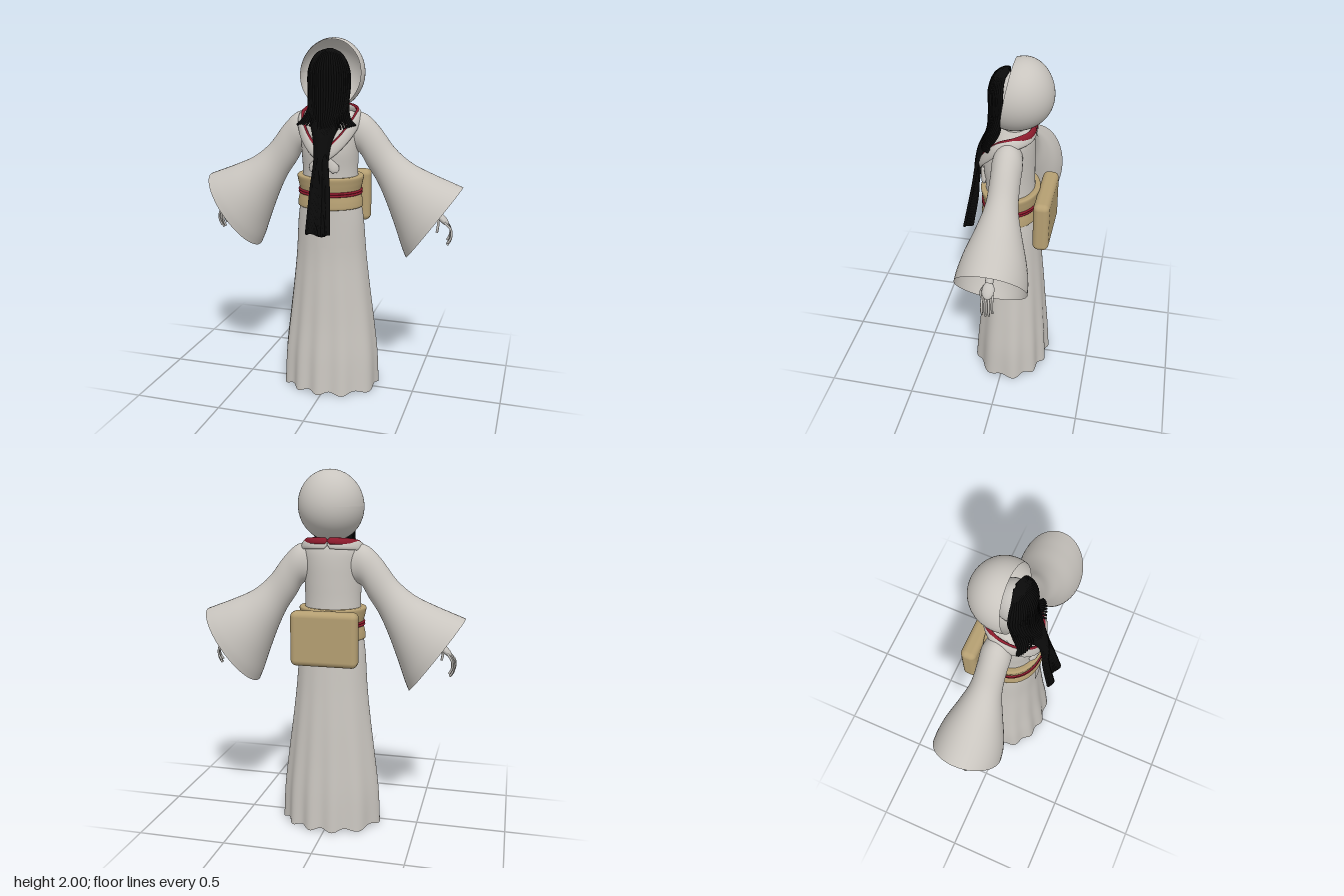
import * as THREE from 'three';
import { RoundedBoxGeometry } from 'three/addons/geometries/RoundedBoxGeometry.js';

const mat = (name, color) => {
  const m = new THREE.MeshStandardMaterial({ color, side: THREE.DoubleSide });
  m.name = name;
  return m;
};
const V = (x, y, z) => new THREE.Vector3(x, y, z);
const TAU = Math.PI * 2;

// Skin a list of equal-length rings of points
function loft(rings, closed = true) {
  const n = rings[0].length, idx = [];
  for (let i = 0; i < rings.length - 1; i++)
    for (let j = 0; j < (closed ? n : n - 1); j++) {
      const k = (j + 1) % n, a = i * n, b = a + n;
      idx.push(a + j, a + k, b + k, a + j, b + k, b + j);
    }
  const g = new THREE.BufferGeometry().setFromPoints(rings.flat());
  g.setIndex(idx);
  g.computeVertexNormals();
  return g;
}

// Smoothly sample rows of [y, halfWidth, frontZ, backZ]
function sampler(rows) {
  const a = new THREE.CatmullRomCurve3(rows.map(r => V(r[0], r[1], 0)), false, 'catmullrom');
  const b = new THREE.CatmullRomCurve3(rows.map(r => V(r[2], r[3], 0)), false, 'catmullrom');
  return t => {
    const p = a.getPoint(t), q = b.getPoint(t);
    return { y: p.x, rx: p.y, cz: (q.x + q.y) / 2, hz: (q.x - q.y) / 2 };
  };
}
const oval = (s, a, grow = 0) =>
  V((s.rx + grow) * Math.sin(a), s.y, s.cz + (s.hz + grow) * Math.cos(a));
const arc = (n, f, from = 0, to = TAU, closed = true) =>
  Array.from({ length: closed ? n : n + 1 }, (_, j) => f(from + (to - from) * j / n));

function bodyLoft(rows, steps, sides = 64) {
  const at = sampler(rows);
  return loft(Array.from({ length: steps + 1 }, (_, i) => {
    const s = at(i / steps);
    return arc(sides, a => oval(s, a));
  }));
}

function tube(points, r, segs = 20, sides = 6) {
  return new THREE.TubeGeometry(new THREE.CatmullRomCurve3(points), segs, r, sides);
}

export function createModel() {
  const root = new THREE.Group();
  const cloth = mat('pale cloth', 0xc9c5bf), skin = mat('pale skin', 0xc4c1bc);
  const hairMat = mat('black hair', 0x0b0b0b), tan = mat('tan sash', 0xb59f72);
  const red = mat('dark red', 0x8c1a2c);
  const add = (name, geo, m, parent = root) => {
    const mesh = new THREE.Mesh(geo, m);
    mesh.name = name;
    parent.add(mesh);
    return mesh;
  };

  // Skirt with folds that deepen toward the hem
  const skirtAt = sampler([
    [0, 0.28, 0.195, -0.245], [0.2, 0.272, 0.18, -0.235], [0.4, 0.25, 0.16, -0.22],
    [0.6, 0.225, 0.145, -0.205], [0.8, 0.203, 0.132, -0.188],
    [1.0, 0.188, 0.13, -0.172], [1.12, 0.17, 0.13, -0.16]]);
  const skirtRing = t => {
    const s = skirtAt(t), k = Math.pow(1 - t, 2);
    return arc(144, a => {
      const fold = Math.cos(11 * a + 1.5 * Math.sin(2 * a + 0.6));
      const p = oval(s, a, 0.009 * k * fold);
      p.y += Math.max(0, 1 - t * 8) * (0.009 - 0.009 * fold);
      return p;
    });
  };
  add('skirt', loft(Array.from({ length: 41 }, (_, i) => skirtRing(i / 40))), cloth);

  // Overlapping front flap below the sash
  add('frontFlap', loft([0.72, 0.78, 0.84, 0.9, 0.95].map(t =>
    arc(16, a => oval(skirtAt(t), a, 0.005), -0.16, 0.85, false)), false), cloth);

  // Upper robe
  add('bodice', bodyLoft([
    [1.06, 0.168, 0.13, -0.155], [1.27, 0.156, 0.125, -0.142], [1.4, 0.16, 0.135, -0.14],
    [1.5, 0.164, 0.115, -0.138], [1.57, 0.16, 0.075, -0.13],
    [1.605, 0.13, 0.04, -0.115], [1.615, 0.05, 0.0, -0.07]], 30), cloth);
  const neck = add('neck', new THREE.CylinderGeometry(0.045, 0.055, 0.16, 20), skin);
  neck.position.set(0, 1.65, -0.03);

  // Sash with flared edges, cords and rear bow
  add('sash', bodyLoft([
    [1.085, 0.165, 0.125, -0.155], [1.087, 0.184, 0.148, -0.17], [1.12, 0.182, 0.147, -0.168],
    [1.17, 0.172, 0.14, -0.162], [1.22, 0.182, 0.147, -0.168],
    [1.258, 0.186, 0.15, -0.17], [1.26, 0.155, 0.12, -0.14]], 36), tan);
  for (const y of [1.163, 1.177])
    add('sashCord', new THREE.TubeGeometry(new THREE.CatmullRomCurve3(
      arc(32, a => oval({ y, rx: 0.175, cz: -0.011, hz: 0.153 }, a)), true), 96, 0.007, 8, true), red);
  const bow = add('rearBow', new RoundedBoxGeometry(0.37, 0.3, 0.088, 5, 0.032), tan);
  bow.position.set(0, 1.11, -0.207);

  // Collar bands: flattened ellipses swept from nape to chest
  const collar = (s, pts, w, th) => {
    const curve = new THREE.CatmullRomCurve3(pts.map(p => V(p[0] * s, p[1], p[2])));
    return loft(Array.from({ length: 41 }, (_, i) => {
      const p = curve.getPoint(i / 40), t = curve.getTangent(i / 40);
      const out = V(p.x, 0.05, p.z + 0.02).normalize();
      const wide = V(0, 0, 0).crossVectors(t, out).normalize();
      const thick = V(0, 0, 0).crossVectors(wide, t).normalize();
      const k = i === 0 || i === 40 ? 0.3 : 1;
      return arc(12, a => p.clone().addScaledVector(wide, Math.cos(a) * w * k)
        .addScaledVector(thick, Math.sin(a) * th * s * k));
    }));
  };
  const path = [[0, 1.612, -0.135], [0.09, 1.61, -0.12], [0.15, 1.6, -0.06], [0.165, 1.575, 0.02],
    [0.125, 1.495, 0.095], [0.06, 1.42, 0.138], [-0.01, 1.365, 0.142], [-0.08, 1.3, 0.118]];
  for (const s of [1, -1]) {
    add('collar', collar(s, path, 0.028, 0.011), cloth);
    add('innerCollar', collar(s, path.slice(0, 7).map(p =>
      [p[0] * 0.93, p[1] + 0.017, p[2] - 0.004]), 0.019, 0.009), red);
  }

  // Bell sleeves: top x,y, bottom x,y, half depth
  const sleeveRows = [
    [0.10, 1.608, 0.10, 1.40, 0.065], [0.19, 1.6, 0.165, 1.385, 0.079], [0.27, 1.53, 0.21, 1.315, 0.078],
    [0.36, 1.415, 0.27, 1.225, 0.086], [0.46, 1.335, 0.325, 1.11, 0.12],
    [0.58, 1.28, 0.38, 0.97, 0.162], [0.67, 1.245, 0.415, 0.87, 0.182], [0.735, 1.22, 0.44, 0.81, 0.187]];
  const tops = new THREE.CatmullRomCurve3(sleeveRows.map(r => V(r[0], r[1], r[4])), false, 'catmullrom');
  const lows = new THREE.CatmullRomCurve3(sleeveRows.map(r => V(r[2], r[3], 0)), false, 'catmullrom');
  for (const s of [1, -1]) {
    const arm = new THREE.Group();
    arm.name = s > 0 ? 'leftArm' : 'rightArm';
    root.add(arm);
    add('sleeve', loft(Array.from({ length: 36 }, (_, i) => {
      const T = tops.getPoint(i / 35), B = lows.getPoint(i / 35);
      return arc(48, a => V(s * ((T.x + B.x) / 2 + (T.x - B.x) / 2 * Math.cos(a)),
        (T.y + B.y) / 2 + (T.y - B.y) / 2 * Math.cos(a), -0.028 + T.z * Math.sin(a * s)));
    })), cloth, arm);

    // Forearm, palm and slender fingers
    const P = (x, y, z) => V(s * x, y, z);
    add('forearm', tube([P(0.3, 1.36, -0.03), P(0.45, 1.21, -0.028), P(0.61, 1.07, -0.025)], 0.021, 16, 12), skin, arm);
    const palm = add('palm', new THREE.SphereGeometry(1, 16, 12), skin, arm);
    palm.scale.set(0.018, 0.046, 0.032);
    palm.position.set(s * 0.632, 1.043, -0.025);
    palm.rotation.z = s * 0.8;
    for (let f = 0; f < 4; f++) {
      const z = 0.0 - f * 0.017, l = [0.0, 0.014, 0.012, -0.006][f];
      add('finger', tube([P(0.645, 1.03, z), P(0.683 - f * 0.004, 0.99, z - 0.002),
        P(0.685 - f * 0.004, 0.945 - l, z - 0.002), P(0.667 - f * 0.003, 0.913 - l, z)], 0.0062, 12, 7), skin, arm);
    }
    add('thumb', tube([P(0.61, 1.05, 0), P(0.615, 1.015, 0.016), P(0.61, 0.975, 0.017)], 0.007, 10, 7), skin, arm);
  }

  // Open-fronted hood: sphere with its pole at the back, front rim leaning
  const hood = new THREE.SphereGeometry(1, 56, 32, 0, TAU, 0, 1.85);
  hood.rotateX(-Math.PI / 2);
  hood.scale(0.178, 0.191, 0.182);
  const hp = hood.attributes.position;
  for (let i = 0; i < hp.count; i++) {
    const y = hp.getY(i), z = hp.getZ(i);
    hp.setZ(i, z - 0.13 * y * Math.max(0, 1 + z / 0.182));
  }
  hood.translate(0, 1.809, -0.05);
  hood.computeVertexNormals();
  add('hood', hood, cloth);

  const head = add('head', new THREE.SphereGeometry(1, 28, 20), skin);
  head.scale.set(0.098, 0.135, 0.095);
  head.position.set(0, 1.785, -0.015);

  // Hair: front shell plus long central locks and short splayed side locks
  const hair = new THREE.Group();
  hair.name = 'hair';
  root.add(hair);
  const shell = add('hairShell', new THREE.SphereGeometry(1, 32, 24, 0, Math.PI, 0, 1.75), hairMat, hair);
  shell.scale.set(0.115, 0.14, 0.092);
  shell.position.set(0, 1.8, 0.008);
  add('hairCurtain', loft([[1.6, 0.098, 0.108], [1.68, 0.108, 0.097], [1.8, 0.113, 0.098]].map(r =>
    arc(24, a => V(r[1] * Math.sin(a), r[0], 0.008 + (r[2] - 0.008) * Math.cos(a)), -1.25, 1.25, false)), false), hairMat, hair);
  const crown = (si, co) => [V(0.01 * si, 1.937, 0.0), V(0.065 * si, 1.915, 0.01 + 0.052 * co),
    V(0.108 * si, 1.84, 0.01 + 0.086 * co), V(0.113 * si, 1.72, 0.012 + 0.086 * co)];
  const N = 25;
  for (let i = 0; i < N; i++) {
    const u = i / (N - 1) * 2 - 1, a = u * 1.5;
    const si = Math.sin(a), co = Math.cos(a), j = Math.sin(i * 12.9);
    // Long lock gathered on the chest
    add('longLock', tube([...crown(si, co), V(0.095 * si, 1.6, 0.06 + 0.05 * co),
      V(0.05 * u, 1.48, 0.128 + 0.032 * co), V(0.036 * u, 1.38, 0.158 + 0.025 * co + j * 0.006),
      V(0.052 * u, 1.2, 0.187 + j * 0.013), V(0.066 * u, 0.965 + j * 0.012, 0.228 + j * 0.016)],
      0.0085, 40, 5), hairMat, hair);
    // Side locks fanning over the shoulders
    if (Math.abs(u) > 0.3)
      add('sideLock', tube([...crown(si, co), V(0.112 * si, 1.63, 0.025 + 0.075 * co),
        V(0.135 * si, 1.57, 0.06 + 0.06 * co), V(0.165 * si, 1.535 + j * 0.012, 0.075 + 0.06 * co)],
        0.006, 28, 5), hairMat, hair);
  }
  return root;
}
